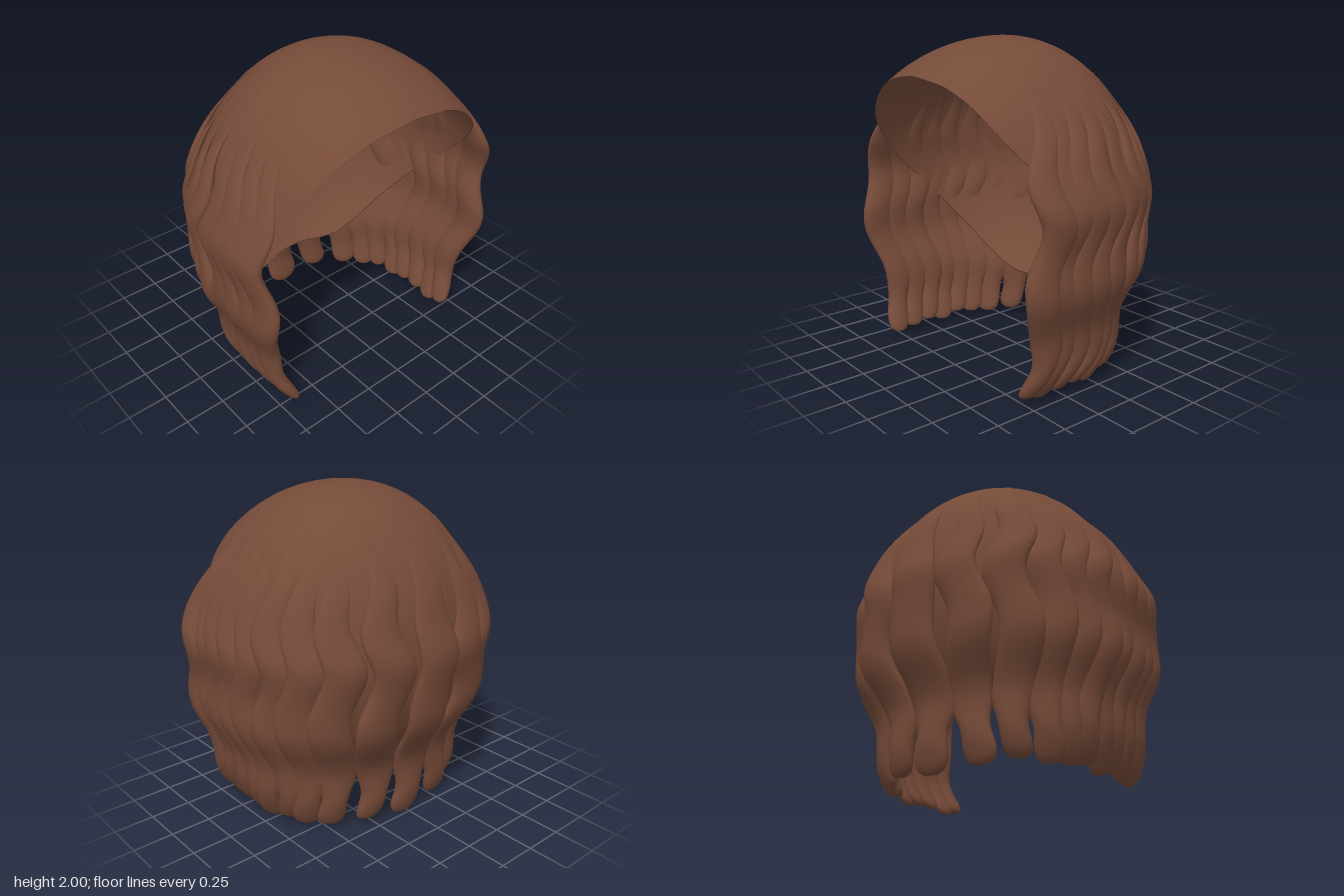
import * as THREE from 'three';

const CENTRE = { y: 1.1, z: 0.1 };
const RADIUS = { x: 0.845, y: 0.9, front: 1.0, back: 0.77 };
const smooth = THREE.MathUtils.smoothstep;
const lerp = THREE.MathUtils.lerp;

// Closed rings of points joined into a smooth skin
function skin(rows, cols, point) {
  const pos = [], idx = [];
  for (let i = 0; i < rows; i++) {
    for (let j = 0; j < cols; j++) pos.push(...point(i, j));
  }
  for (let i = 0; i < rows - 1; i++) {
    for (let j = 0; j < cols; j++) {
      const a = i * cols + j, b = i * cols + (j + 1) % cols;
      idx.push(a, b, a + cols, b, b + cols, a + cols);
    }
  }
  const g = new THREE.BufferGeometry();
  g.setAttribute('position', new THREE.Float32BufferAttribute(pos, 3));
  g.setIndex(idx);
  g.computeVertexNormals();
  return g;
}

// Rim height every 15 degrees, from the front round to the back
const rim = new THREE.SplineCurve(
  [1.79, 1.775, 1.74, 1.64, 1.43, 1.18, 0.93, 0.7, 0.5, 0.39, 0.36, 0.36, 0.36]
    .map((y, i) => new THREE.Vector2(i, y)));

// The front half is a little squarer in plan than an ellipse
function boxiness(s, c) {
  return c > 0 ? Math.pow(Math.pow(Math.abs(s), 2.25) + Math.pow(c, 2.25), -1 / 2.25) : 1;
}

// Thin cap: an ellipsoid, longer at the front, cut off along the rim
function capGeometry() {
  const N = 40, M = 120;
  return skin(2 * N + 4, M, (i, j) => {
    const outer = i <= N + 1;
    const step = outer ? Math.min(i, N) : Math.min(2 * N + 3 - i, N);
    const t = Math.max(step / N, 0.001);
    const ang = -(j / M) * Math.PI * 2;
    const c = Math.cos(ang), sn = Math.sin(ang);
    const s = outer ? 1 : 0.985;
    const around = Math.acos(THREE.MathUtils.clamp(c, -1, 1)) / Math.PI;
    const polar = t * Math.acos((rim.getPoint(around).y - CENTRE.y) / RADIUS.y);
    const r = Math.sin(polar) * s * lerp(1, boxiness(sn, c), Math.sin(polar));
    return [
      RADIUS.x * r * sn,
      CENTRE.y + RADIUS.y * Math.cos(polar) * s,
      CENTRE.z + (c > 0 ? RADIUS.front : RADIUS.back) * r * c,
    ];
  });
}

// One wavy lock: (px, pz) is its place at the widest level
function lockGeometry({ px, pz, side, half, thick, top, bottom, twist, phase }) {
  const rows = 72, cols = 24;
  const dz = pz - CENTRE.z, rz = dz > 0 ? RADIUS.front : RADIUS.back;
  const k = Math.hypot(px / RADIUS.x, dz / rz);
  const root = 0.985 * boxiness(px / RADIUS.x / k, dz / rz / k);
  const dir = Math.atan2(px / RADIUS.x ** 2, dz / rz ** 2) + twist * side;
  const n = [Math.sin(dir), Math.cos(dir)], t = [n[1], -n[0]];
  return skin(rows, cols, (i, j) => {
    const u = i / (rows - 1);
    const y = lerp(top, bottom, u < 0.9 ? u : 0.9 + 0.1 * Math.sin((u - 0.9) * 5 * Math.PI));
    // Hug the dome above, fall and curl inward below
    let sx, sz;
    if (y > CENTRE.y) {
      const h = (y - CENTRE.y) / RADIUS.y;
      const lift = smooth((y - CENTRE.y) / (top - CENTRE.y), 0, 0.9);
      sx = sz = Math.sqrt(1 - h * h) * lerp(k, root, lift) / k;
    } else {
      const d = (CENTRE.y - y) / CENTRE.y;
      sx = 1 - 0.25 * Math.pow(d, 1.8);
      sz = dz > 0 ? 1 - 0.1 * d : 1 - 0.28 * smooth(d, 0.15, 0.8);
    }
    const grow = smooth(u, 0, 0.42);
    const v = y - 0.77 + phase;
    const wave = -side * grow * 0.045 * Math.cos(v * 2 * Math.PI / (v > 0 ? 0.6 : 0.8));
    const ripple = grow * 0.014 * Math.cos((y - 1.1) * 2 * Math.PI / 0.45);
    const neck = 1 - 0.28 * Math.exp(-Math.pow((y - 0.2) / 0.12, 2)) - 0.1 * smooth(u, 0.7, 1);
    const tip = Math.max(u > 0.9 ? Math.cos((u - 0.9) * 5 * Math.PI) : 1, 0);
    const w = half * lerp(0.4, 1, grow) * neck * Math.pow(tip, 0.6);
    const h = thick * lerp(0.1, 1, grow) * Math.sqrt(tip);
    const a = (j / cols) * Math.PI * 2;
    const across = wave + Math.cos(a) * w, out = ripple + Math.sin(a) * h;
    return [
      px * sx + t[0] * across + n[0] * out,
      y,
      CENTRE.z + dz * sz + t[1] * across + n[1] * out,
    ];
  });
}

export function createModel() {
  const model = new THREE.Group();
  model.name = 'wig';
  const hair = new THREE.MeshStandardMaterial({ color: 0x754a38 });
  hair.name = 'brown hair';
  hair.side = THREE.DoubleSide;
  const add = (name, geometry) => {
    const mesh = new THREE.Mesh(geometry, hair);
    mesh.name = name;
    model.add(mesh);
  };

  add('cap', capGeometry());

  // Middle lock at the back
  add('backLock', lockGeometry({
    px: 0, pz: -0.685, side: 0.4, half: 0.155, thick: 0.053,
    top: 1.84, bottom: 0.0, twist: 0.1, phase: 0,
  }));

  // Locks from the back round to the front: x, z, half width
  const places = [
    [0.33, -0.635, 0.14], [0.58, -0.5, 0.125], [0.72, -0.36, 0.12],
    [0.8, -0.21, 0.11], [0.86, -0.06, 0.11], [0.875, 0.09, 0.11],
    [0.88, 0.23, 0.11], [0.88, 0.36, 0.11], [0.875, 0.49, 0.11],
  ];
  for (const side of [1, -1]) {
    places.forEach(([x, z, half], i) => {
      const vary = Math.sin(i * 2.4 + side);
      add(side > 0 ? 'leftLock' : 'rightLock', lockGeometry({
        px: x * side, pz: z, side, half, thick: 0.052 + 0.006 * vary,
        top: 1.8 + 0.05 * vary, bottom: 0.025 + 0.015 * vary,
        twist: 0.22, phase: 0.04 * vary,
      }));
    });
  }
  return model;
}
